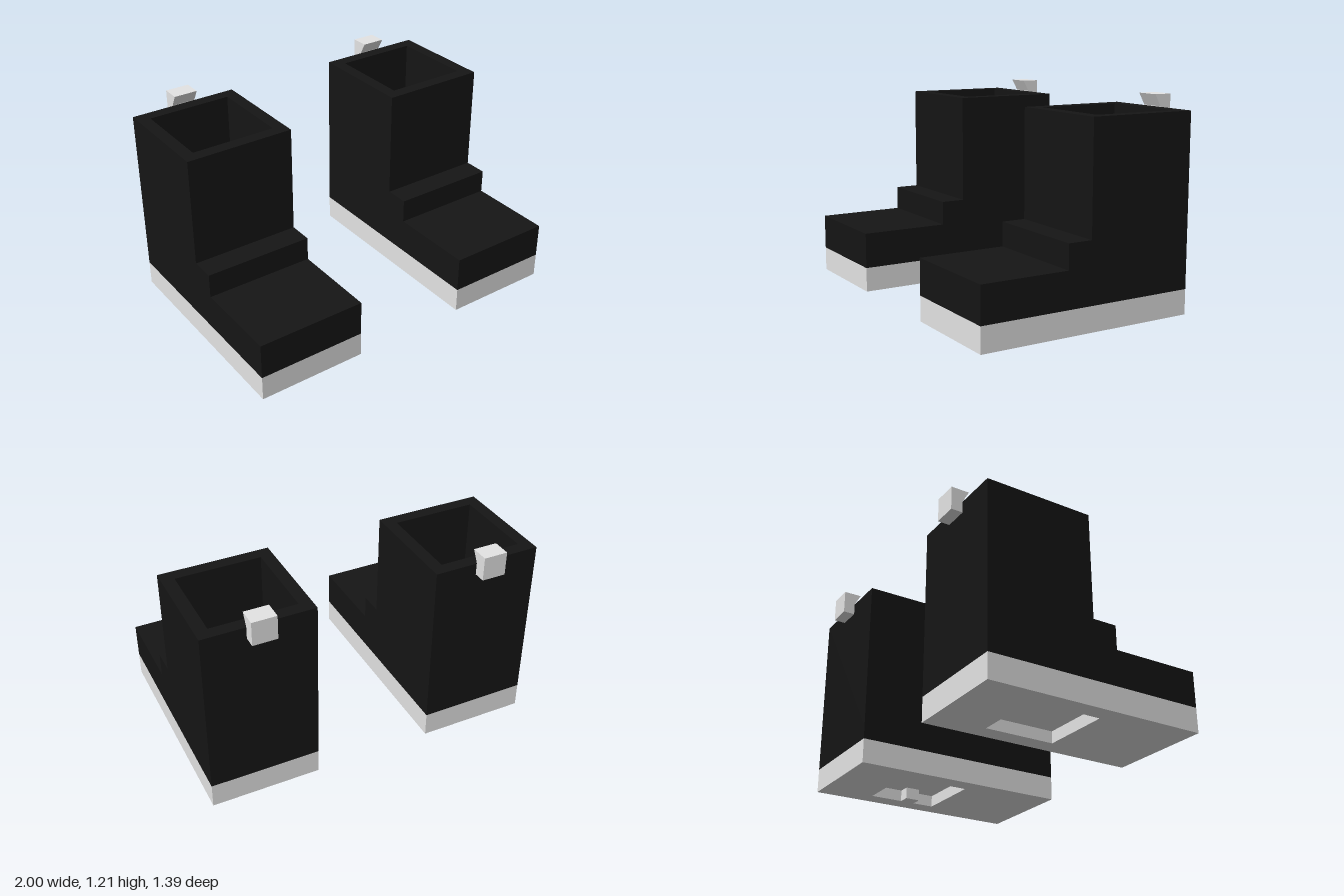
import * as THREE from 'three';

const W = 0.646, FRONT = 0.695, BACK = -0.625;
const SOLE_TOP = 0.146, TOP = 1.14, SHAFT_FRONT = 0.025;

const upper = new THREE.MeshStandardMaterial({ color: 0x151515 });
upper.name = 'blackUpper';
const rubber = new THREE.MeshStandardMaterial({ color: 0xe4e4e4 });
rubber.name = 'lightGreySole';

const trace = (Type, pts) => new Type(pts.map(([a, b]) => new THREE.Vector2(a, b)));
const rect = (x0, x1, z0, z1) => [[x0, z0], [x1, z0], [x1, z1], [x0, z1]];

// Side outline of [z, y] points, extruded across the width
function sideExtrude(points, width) {
  const g = new THREE.ExtrudeGeometry(trace(THREE.Shape, points), { depth: width, bevelEnabled: false });
  return g.rotateY(-Math.PI / 2).translate(width / 2, 0, 0);
}

// Floor plan of [x, z] points with an optional hole, extruded upwards.
// The hole is wound against the outline so its walls face into the opening.
function planExtrude(outer, hole, y0, y1) {
  const flip = (pts) => pts.map(([x, z]) => [x, -z]);
  const shape = trace(THREE.Shape, flip(outer));
  if (hole) shape.holes.push(trace(THREE.Path, flip(hole).reverse()));
  const g = new THREE.ExtrudeGeometry(shape, { depth: y1 - y0, bevelEnabled: false });
  return g.rotateX(-Math.PI / 2).translate(0, y0, 0);
}

function createBoot(name, x, notched) {
  const boot = new THREE.Group();
  boot.name = name;
  boot.position.x = x;
  const add = (part, geometry, material) => {
    const mesh = new THREE.Mesh(geometry, material);
    mesh.name = part;
    boot.add(mesh);
  };

  // Sole with a square recess underneath; one boot has a small key in it
  const recessDepth = 0.07, r = 0.212, z0 = -0.302, z1 = 0.122;
  const recess = rect(-r, r, z0, z1);
  if (notched) recess.splice(2, 0, [r, -0.1], [0.14, -0.1], [0.14, -0.01], [r, -0.01]);
  const footprint = rect(-W / 2, W / 2, BACK, FRONT);
  add('soleTread', planExtrude(footprint, recess, 0, recessDepth), rubber);
  add('soleSlab', planExtrude(footprint, null, recessDepth, SOLE_TOP), rubber);

  // Stepped foot, running back beneath the hollow shaft
  const floor = 0.215;
  add('foot', sideExtrude([
    [BACK, SOLE_TOP], [FRONT, SOLE_TOP], [FRONT, 0.357], [0.17, 0.357],
    [0.17, 0.5], [SHAFT_FRONT, 0.5], [SHAFT_FRONT, floor], [BACK, floor],
  ], W), upper);

  // Open square shaft
  add('shaft', planExtrude(
    rect(-W / 2, W / 2, BACK, SHAFT_FRONT),
    rect(-0.249, 0.249, -0.551, -0.05), floor, TOP), upper);

  // Pull tab at the back of the collar
  add('pullTab', sideExtrude([
    [-0.695, 1.071], [BACK, 1.071], [BACK, 1.143], [-0.587, 1.212], [-0.695, 1.212],
  ], 0.142), rubber);
  return boot;
}

export function createModel() {
  const model = new THREE.Group();
  model.name = 'bootPair';
  model.add(createBoot('leftBoot', 0.677, true), createBoot('rightBoot', -0.677, false));
  return model;
}
